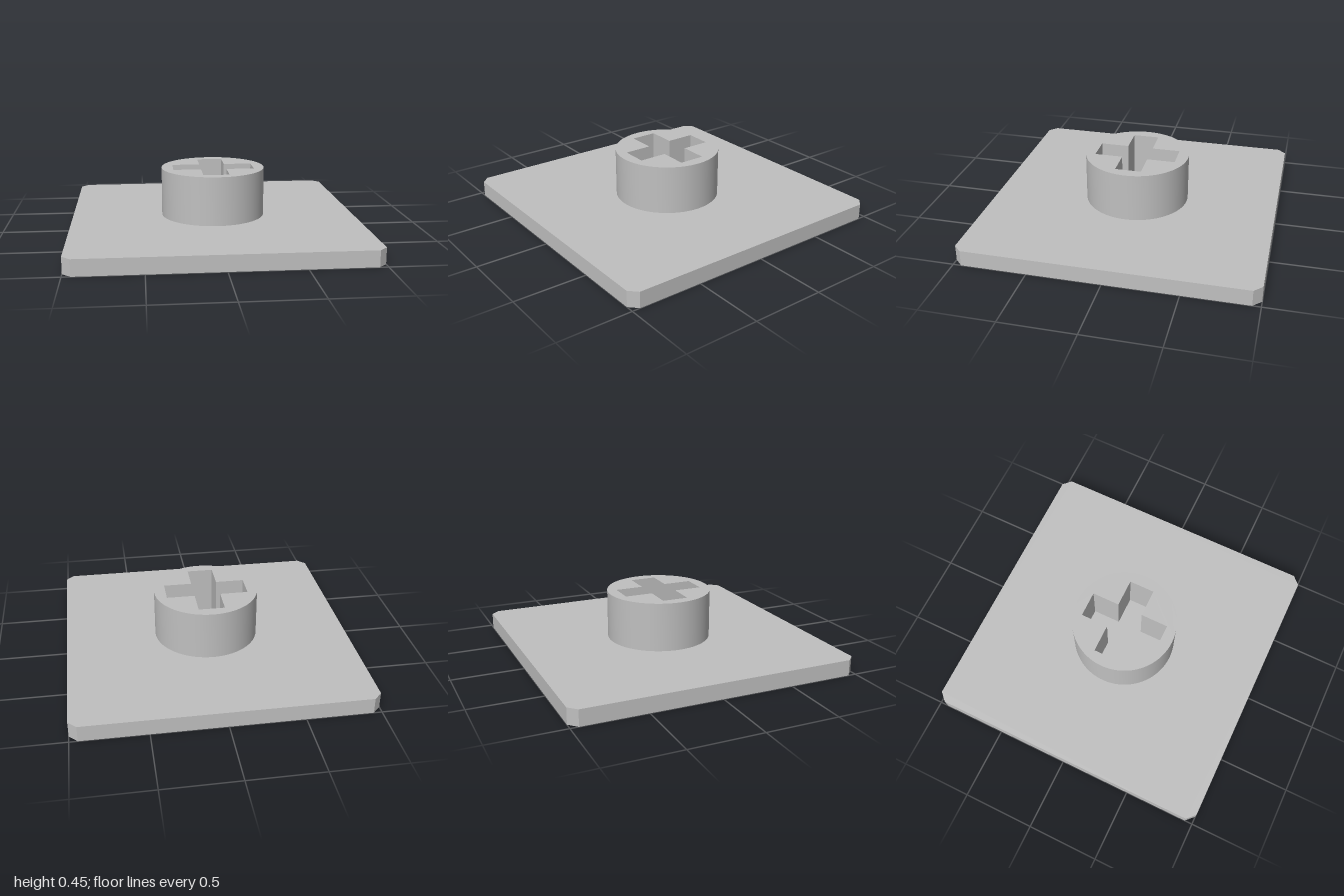
import * as THREE from 'three';
import { toCreasedNormals } from 'three/addons/utils/BufferGeometryUtils.js';

const PLATE_TOP = 0.11;
const POST_TOP = 0.45;

const points = (list) => list.map(([x, y]) => new THREE.Vector2(x, y));

// Extrude a floor-plan shape upwards from y0 to y1
function extrudeUp(shape, y0, y1) {
  const geometry = new THREE.ExtrudeGeometry(shape, {
    depth: y1 - y0, bevelEnabled: false, curveSegments: 64,
  });
  geometry.rotateX(-Math.PI / 2);
  geometry.translate(0, y0, 0);
  return toCreasedNormals(geometry, 0.5);
}

export function createModel() {
  const model = new THREE.Group();
  model.name = 'keyedPostPlate';

  const grey = new THREE.MeshStandardMaterial({ color: 0xc0c0c0 });
  grey.name = 'plainGrey';

  // Square plate with clipped corners
  const s = 1, c = 0.945;
  const plateShape = new THREE.Shape(points([
    [c, -s], [s, -c], [s, c], [c, s], [-c, s], [-s, c], [-s, -c], [-c, -s],
  ]));
  const plate = new THREE.Mesh(extrudeUp(plateShape, 0, PLATE_TOP), grey);
  plate.name = 'basePlate';

  // Round post with a cross-shaped socket reaching down to the plate
  const a = 0.285, w = 0.09;
  const postShape = new THREE.Shape().absarc(0, 0, 0.365, 0, Math.PI * 2, false);
  postShape.holes.push(new THREE.Path(points([
    [w, a], [w, w], [a, w], [a, -w], [w, -w], [w, -a],
    [-w, -a], [-w, -w], [-a, -w], [-a, w], [-w, w], [-w, a],
  ])));
  const post = new THREE.Mesh(extrudeUp(postShape, PLATE_TOP, POST_TOP), grey);
  post.name = 'crossSocketPost';

  model.add(plate, post);
  return model;
}
